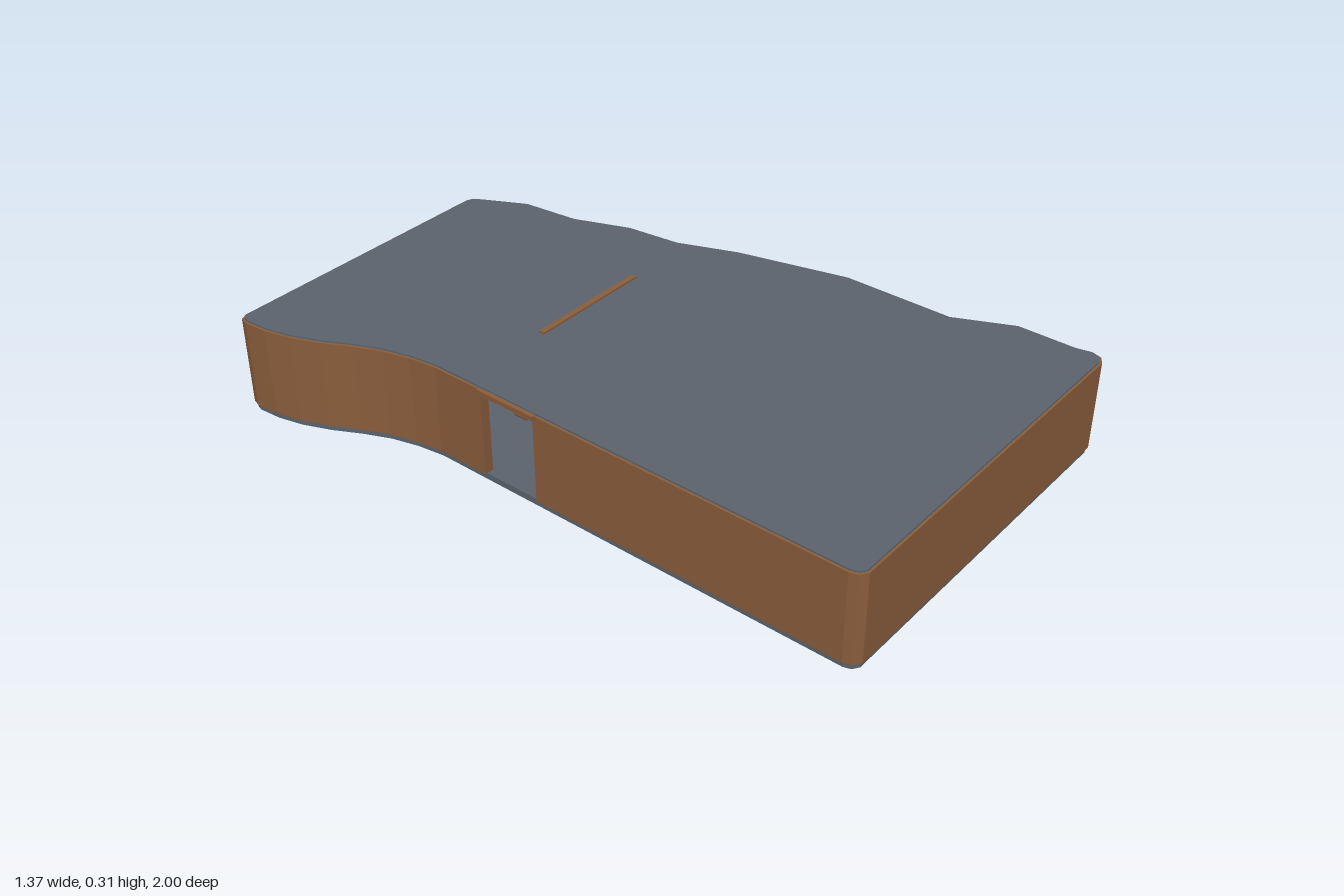
import * as THREE from 'three';

const wood = new THREE.MeshStandardMaterial({ name: 'wood brown', color: 0x8b5e3c });
const slate = new THREE.MeshStandardMaterial({ name: 'slate grey', color: 0x5c646e });

const DOOR = { back: -0.22, front: -0.03 };
const WALL = 0.03;

// Plan outline as [x, z], starting at the front of the doorway and ending at its back
const outline = [
  [-0.51, DOOR.front], [-0.51, 0.96], [-0.502, 0.985], [-0.48, 1],
  [0.65, 1], [0.675, 0.985], [0.685, 0.955], [0.675, 0.91], [0.675, 0.73],
  [0.595, 0.555], [0.595, 0.21], [0.51, -0.13], [0.44, -0.31], [0.42, -0.48],
  [0.355, -0.65], [0.335, -0.83], [0.265, -0.965], [0.25, -0.99], [0.225, -1],
  [-0.655, -1], [-0.678, -0.99], [-0.686, -0.965], [-0.68, -0.89], [-0.66, -0.81],
  [-0.625, -0.725], [-0.58, -0.64], [-0.545, -0.56], [-0.522, -0.475], [-0.51, -0.39],
  [-0.51, DOOR.back],
].map(([x, z]) => new THREE.Vector2(x, -z));

// Move a closed outline inwards by d with mitred corners
function inset(points, d) {
  const n = points.length;
  return points.map((p, i) => {
    const a = p.clone().sub(points[(i + n - 1) % n]).normalize();
    const b = points[(i + 1) % n].clone().sub(p).normalize();
    const na = new THREE.Vector2(-a.y, a.x);
    const nb = new THREE.Vector2(-b.y, b.x);
    const m = na.clone().add(nb);
    return p.clone().addScaledVector(m, d / (1 + na.dot(nb)));
  });
}

// Upright prism standing on a plan shape
function prism(name, points, bottom, top, material) {
  const geometry = new THREE.ExtrudeGeometry(new THREE.Shape(points), {
    depth: top - bottom, bevelEnabled: false,
  });
  geometry.rotateX(-Math.PI / 2).translate(0, bottom, 0);
  const mesh = new THREE.Mesh(geometry, material);
  mesh.name = name;
  return mesh;
}

function box(name, size, position, material) {
  const mesh = new THREE.Mesh(new THREE.BoxGeometry(...size), material);
  mesh.name = name;
  mesh.position.set(...position);
  return mesh;
}

export function createModel() {
  const model = new THREE.Group();
  model.name = 'walledChamber';

  // Floor and roof slabs sit just within the wall line
  const slabPlan = inset(outline, 0.007);
  model.add(prism('floor', slabPlan, 0, 0.02, slate));
  model.add(prism('roof', slabPlan, 0.29, 0.305, slate));

  // One continuous wall, open at the doorway
  const ring = [...outline, ...inset(outline, WALL).reverse()];
  model.add(prism('outerWall', ring, 0.02, 0.3, wood));

  // Doorway lintel with a small peg below it
  const doorZ = (DOOR.front + DOOR.back) / 2;
  const doorWidth = DOOR.front - DOOR.back;
  model.add(box('doorLintel', [0.016, 0.014, doorWidth + 0.01], [-0.508, 0.294, doorZ], wood));
  const peg = new THREE.Mesh(new THREE.CylinderGeometry(0.012, 0.012, 0.04, 12), wood);
  peg.name = 'doorPeg';
  peg.rotation.x = Math.PI / 2;
  peg.position.set(-0.495, 0.276, -0.08);
  model.add(peg);

  // Inner partition whose top edge breaks through the roof
  model.add(box('partition', [0.4, 0.29, 0.018], [-0.005, 0.165, -0.277], wood));

  return model;
}
